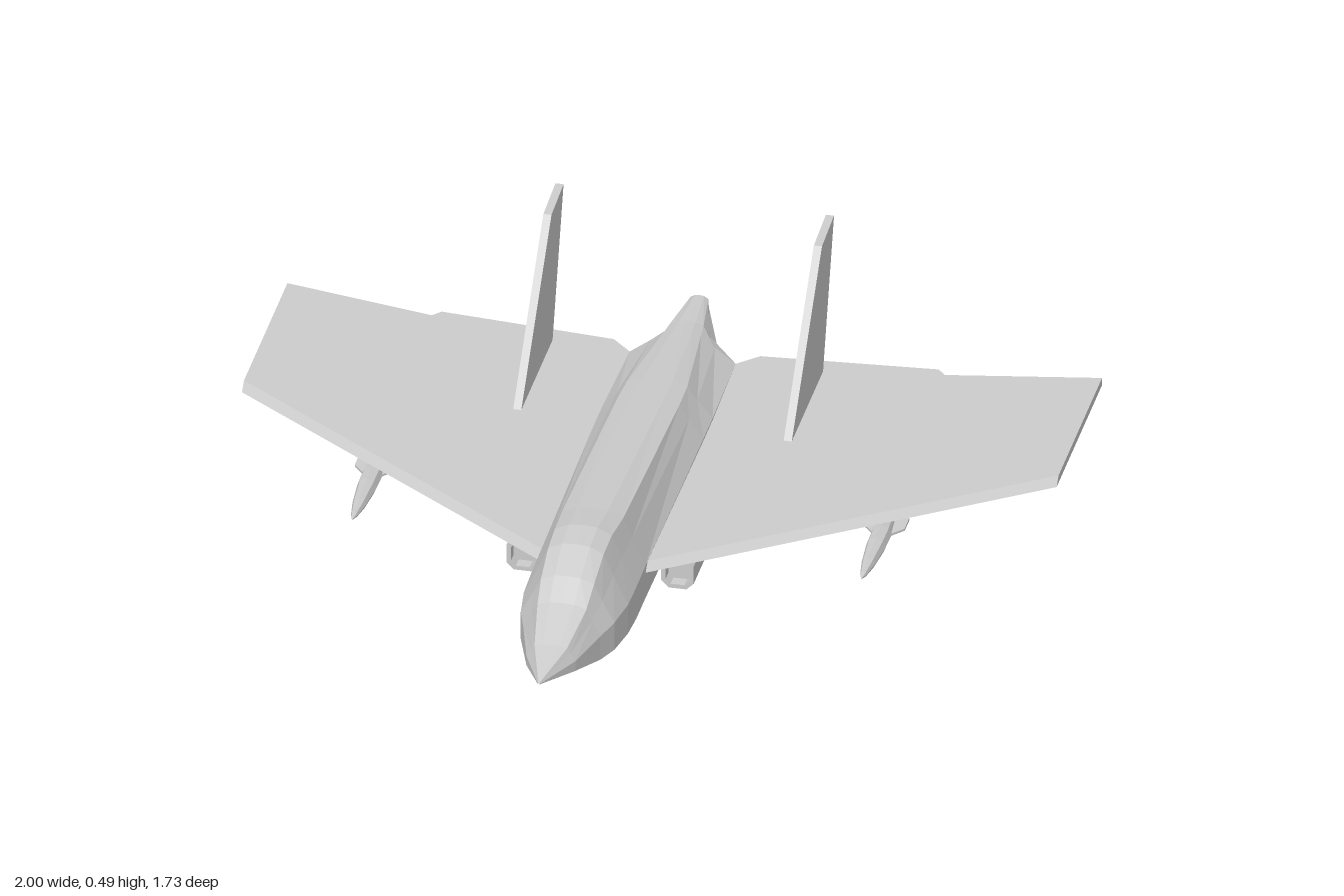
import * as THREE from 'three';

const material = new THREE.MeshStandardMaterial({ color: 0xcccccc, flatShading: true });

const addMesh = (parent, name, geometry) => {
  const mesh = new THREE.Mesh(geometry, material);
  mesh.name = name;
  parent.add(mesh);
  return mesh;
};

const polygon = (points) => new THREE.Shape(points.map(([x, y]) => new THREE.Vector2(x, y)));

// Flat plate standing in the side plane: points are [z, y], thickness runs along x
const sidePlate = (points, x, thickness) =>
  new THREE.ExtrudeGeometry(polygon(points), { depth: thickness, bevelEnabled: false })
    .rotateY(-Math.PI / 2)
    .translate(x + thickness / 2, 0, 0);

// Fuselage stations: z, half width, keel y, lower edge y, upper edge y, spine y, spine half width
const STATIONS = [
  [0.86, 0.002, 0.117, 0.118, 0.119, 0.121, 0.001],
  [0.73, 0.06, 0.073, 0.088, 0.115, 0.153, 0.04],
  [0.61, 0.095, 0.03, 0.055, 0.12, 0.2, 0.06],
  [0.55, 0.115, 0.022, 0.05, 0.125, 0.24, 0.065],
  [0.46, 0.128, 0.012, 0.045, 0.125, 0.277, 0.068],
  [0.38, 0.13, 0.005, 0.04, 0.127, 0.284, 0.07],
  [0.28, 0.13, 0.005, 0.04, 0.13, 0.273, 0.075],
  [-0.32, 0.135, 0.01, 0.04, 0.135, 0.234, 0.076],
  [-0.42, 0.135, 0.02, 0.052, 0.135, 0.227, 0.073],
  [-0.69, 0.13, 0.057, 0.105, 0.13, 0.207, 0.045],
  [-0.74, 0.075, 0.065, 0.115, 0.135, 0.203, 0.04],
  [-0.87, 0.025, 0.125, 0.13, 0.14, 0.2, 0.022],
];

function fuselageGeometry() {
  const rings = STATIONS.map(([z, w, keel, low, mid, top, tw]) => {
    const h = top - mid;
    const right = [
      [tw * 0.5, top - 0.02 * h], [tw, top - 0.13 * h], [tw * 0.6 + w * 0.4, mid + 0.5 * h],
      [w, mid], [w, low],
    ];
    const left = right.map(([x, y]) => [-x, y]).reverse();
    return [[0, top], ...right, [0, keel], ...left].map(([x, y]) => [x, y, z]);
  });
  const positions = [];
  const n = rings[0].length;
  const tail = rings[rings.length - 1];
  const tailCentre = [0, 0.16, tail[0][2]];
  for (let j = 0; j < n; j++) {
    const k = (j + 1) % n;
    for (let i = 0; i < rings.length - 1; i++) {
      const a = rings[i], b = rings[i + 1];
      positions.push(...a[j], ...a[k], ...b[j], ...a[k], ...b[k], ...b[j]);
    }
    positions.push(...tailCentre, ...tail[j], ...tail[k]);
  }
  const geometry = new THREE.BufferGeometry();
  geometry.setAttribute('position', new THREE.Float32BufferAttribute(positions, 3));
  geometry.computeVertexNormals();
  return geometry;
}

// Wing plan in [x, z]; the upper leading edge is pulled back into a chamfer
function wingGeometry(side) {
  const plan = [
    [0.05, 0.28], [0.13, 0.28], [1, -0.33], [1, -0.82], [0.63, -0.75],
    [0.61, -0.772], [0.18, -0.738], [0.13, -0.69], [0.05, -0.69],
  ];
  const geometry = new THREE.ExtrudeGeometry(
    polygon(plan.map(([x, z]) => [side * x, -z])), { depth: 0.02, bevelEnabled: false }
  ).rotateX(-Math.PI / 2).translate(0, 0.11, 0);
  const p = geometry.attributes.position;
  for (let i = 0; i < p.count; i++) {
    if (p.getZ(i) > -0.4 && p.getY(i) > 0.12) p.setZ(i, p.getZ(i) - 0.022);
  }
  geometry.computeVertexNormals();
  return geometry;
}

// Long chamfered pod hugging the fuselage, with a hollow front
function makePod(side) {
  const pod = new THREE.Group();
  pod.name = 'intakePod';
  const outline = (w, h, c) => [
    [-w, -h + c], [-w + c, -h], [w - c, -h], [w, -h + c],
    [w, h - c], [w - c, h], [-w + c, h], [-w, h - c],
  ];
  const shell = polygon(outline(0.04, 0.042, 0.018));
  shell.holes.push(new THREE.Path(polygon(outline(0.029, 0.031, 0.012)).getPoints()));
  addMesh(pod, 'podShell', new THREE.ExtrudeGeometry(shell, { depth: 0.4, bevelEnabled: false }));
  addMesh(pod, 'podCore', new THREE.ExtrudeGeometry(
    polygon(outline(0.03, 0.032, 0.012)), { depth: 0.37, bevelEnabled: false }));
  pod.position.set(side * 0.19, 0.07, -0.2);
  return pod;
}

// Slender missile with four tail fins
function makeMissile(side) {
  const missile = new THREE.Group();
  missile.name = 'missile';
  const profile = [
    [0, -0.17], [0.018, -0.17], [0.025, -0.09], [0.024, -0.03], [0.017, 0.05], [0.008, 0.105], [0, 0.13],
  ].map(([r, z]) => new THREE.Vector2(r, z));
  addMesh(missile, 'missileBody', new THREE.LatheGeometry(profile, 8).rotateX(Math.PI / 2));
  const fin = [[-0.08, 0.015], [-0.12, 0.05], [-0.17, 0.05], [-0.17, 0.01]];
  for (let i = 0; i < 4; i++) {
    const vertical = i % 2 === 0;
    const points = fin.map(([z, r]) => [z, vertical ? r * 0.68 : r]);
    addMesh(missile, 'missileFin', sidePlate(points, 0, 0.006)).rotation.z = i * Math.PI / 2;
  }
  missile.position.set(side * 0.625, 0.07, 0);
  return missile;
}

export function createModel() {
  const model = new THREE.Group();
  model.name = 'deltaWingJet';
  addMesh(model, 'fuselage', fuselageGeometry());

  const finOutline = [[-0.36, 0.125], [-0.69, 0.485], [-0.82, 0.495], [-0.7, 0.125]];
  for (const side of [1, -1]) {
    const label = side > 0 ? 'left' : 'right';
    addMesh(model, label + 'Wing', wingGeometry(side));
    addMesh(model, label + 'TailFin', sidePlate(finOutline, side * 0.332, 0.02));
    model.add(makePod(side), makeMissile(side));
  }
  return model;
}
